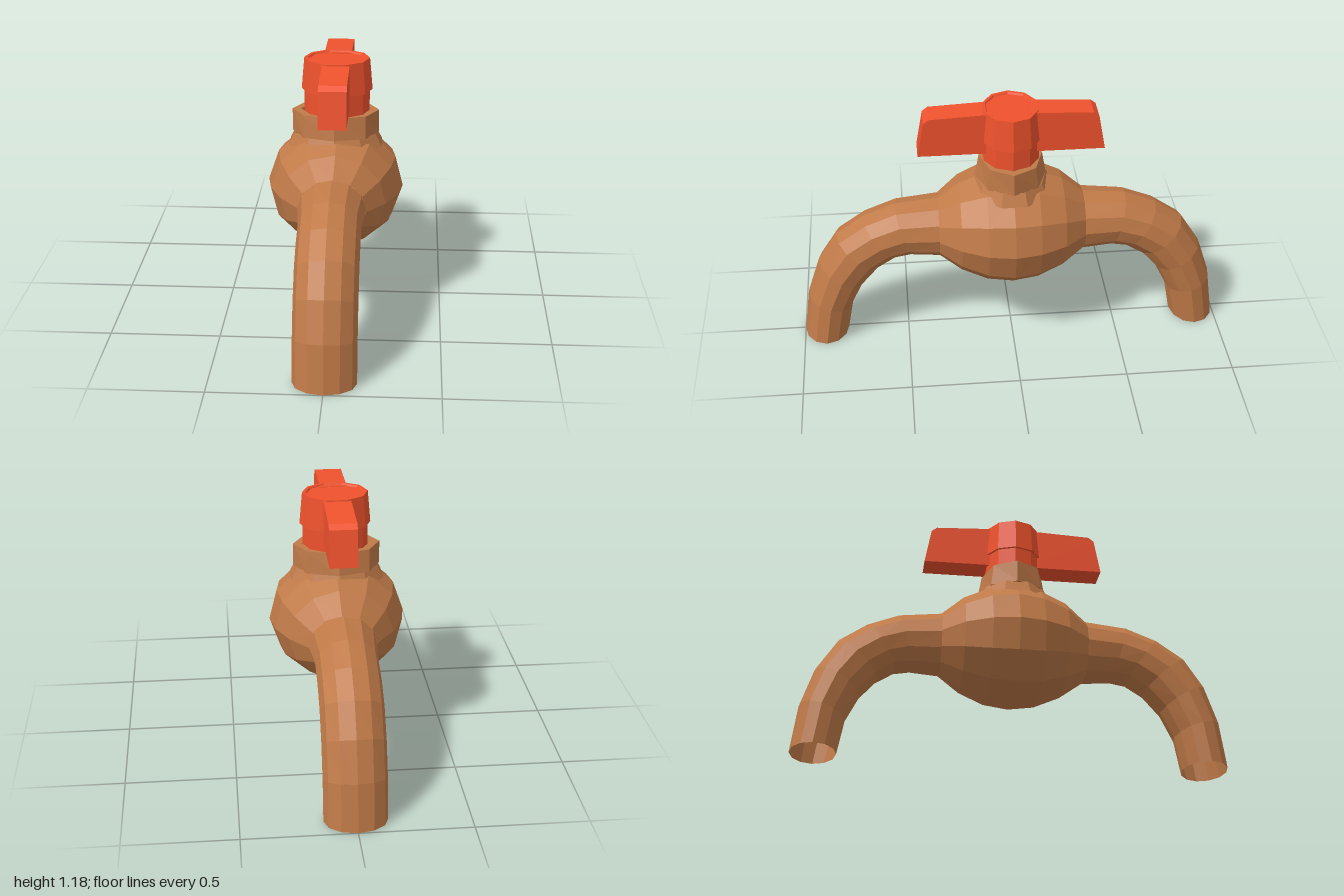
import * as THREE from 'three';

const brass = new THREE.MeshStandardMaterial({ color: 0xc07a48, flatShading: true, side: THREE.DoubleSide });
const red = new THREE.MeshStandardMaterial({ color: 0xf0522d, flatShading: true, side: THREE.DoubleSide });

function mesh(name, geometry, material) {
  const m = new THREE.Mesh(geometry, material);
  m.name = name;
  return m;
}

// Skin of elliptical rings; each section is [zTop, yTop, zBottom, yBottom, halfWidth]
function loft(sections, sides = 12, turn = 0) {
  const pos = [], index = [];
  sections.forEach(([z1, y1, z0, y0, rx], i) => {
    for (let j = 0; j < sides; j++) {
      const a = (j / sides) * Math.PI * 2 + turn, c = Math.cos(a), s = Math.sin(a);
      pos.push(rx * c, (y1 + y0) / 2 + s * (y1 - y0) / 2, (z1 + z0) / 2 + s * (z1 - z0) / 2);
      if (i === sections.length - 1) continue;
      const k = (j + 1) % sides, p = i * sides, q = p + sides;
      index.push(p + j, p + k, q + j, p + k, q + k, q + j);
    }
  });
  const g = new THREE.BufferGeometry();
  g.setAttribute('position', new THREE.Float32BufferAttribute(pos, 3));
  g.setIndex(index);
  const flat = g.toNonIndexed();
  flat.computeVertexNormals();
  return flat;
}

// Faceted turned part, squashed along z; profile is [radius, y]
function turned(profile, sides, squash, phase = 0) {
  const g = new THREE.LatheGeometry(profile.map(([r, y]) => new THREE.Vector2(r, y)), sides, phase);
  g.scale(1, 1, squash);
  return g;
}

export function createModel() {
  const model = new THREE.Group();
  model.name = 'tap';

  // Bulbous valve body, its axis along z
  const half = [[0.34, 0.71, 0.42, 0.155], [0.24, 0.79, 0.35, 0.24], [0.12, 0.84, 0.3, 0.295]];
  const ring = (s) => ([z, top, bottom, rx]) => [s * z, top, s * z, bottom, rx];
  model.add(mesh('valveBody', loft([
    ...half.map(ring(-1)),
    [0, 0.855, 0, 0.285, 0.315],
    ...half.map(ring(1)).reverse(),
  ], 12, -0.04), brass));

  // Curved spouts, front and back, open at the lower end
  const spoutGeometry = loft([
    [0.34, 0.71, 0.34, 0.42, 0.155],
    [0.54, 0.69, 0.47, 0.43, 0.14],
    [0.69, 0.63, 0.54, 0.42, 0.14],
    [0.82, 0.54, 0.62, 0.37, 0.14],
    [0.91, 0.4, 0.7, 0.28, 0.14],
    [0.97, 0.22, 0.76, 0.16, 0.14],
    [1, 0, 0.79, 0, 0.14],
  ]);
  const frontSpout = mesh('frontSpout', spoutGeometry, brass);
  const backSpout = mesh('backSpout', spoutGeometry, brass);
  backSpout.rotation.y = Math.PI;
  model.add(frontSpout, backSpout);

  // Shoulder under the collar, and the octagonal collar with its rim
  model.add(mesh('shoulder', turned([[0.225, 0.77], [0.195, 0.83]], 10, 0.85), brass));
  const collar = turned([[0, 0.825], [0.2, 0.825], [0.2, 0.93], [0.16, 0.93], [0.15, 0.9], [0, 0.9]], 8, 0.82);
  const p = collar.attributes.position;
  for (let i = 0; i < p.count; i++) if (p.getY(i) > 0.88) p.setZ(i, p.getZ(i) * 0.89);
  model.add(mesh('collar', collar, brass));

  // Red handle: stem, slightly flared cap with sunken top, two blades
  const handle = new THREE.Group();
  handle.name = 'handle';
  handle.position.x = 0.006;
  handle.add(mesh('stem', turned([[0.15, 0.89], [0.15, 1.05]], 10, 0.88, Math.PI / 10), red));
  handle.add(mesh('cap', turned([
    [0.145, 1.03], [0.163, 1.03], [0.15, 1.178], [0.135, 1.178], [0.13, 1.17], [0, 1.17],
  ], 10, 0.86, Math.PI / 10), red));

  const profile = new THREE.Shape([
    [0.08, 0.975], [0.425, 0.975], [0.395, 1.14], [0.37, 1.16], [0.12, 1.172], [0.08, 1.172],
  ].map(([z, y]) => new THREE.Vector2(z, y)));
  const blade = new THREE.ExtrudeGeometry(profile, { depth: 0.125, bevelEnabled: false });
  blade.translate(0, 0, -0.0625);
  for (const s of [1, -1]) {
    const b = mesh(s > 0 ? 'frontBlade' : 'backBlade', blade, red);
    b.rotation.y = -s * Math.PI / 2;
    handle.add(b);
  }
  model.add(handle);
  return model;
}
